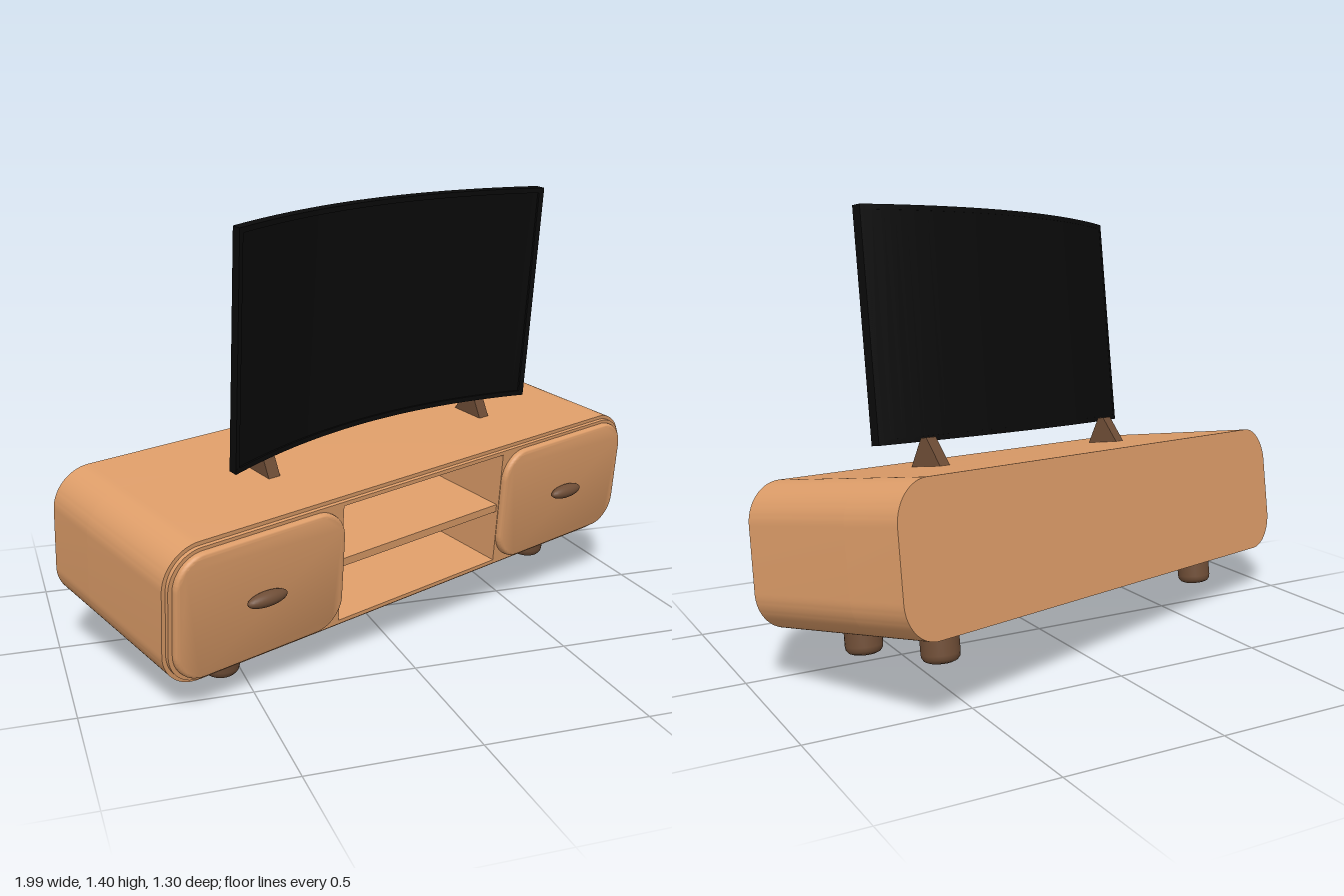
import * as THREE from 'three';
import { toCreasedNormals } from 'three/addons/utils/BufferGeometryUtils.js';

const wood = new THREE.MeshStandardMaterial({ color: 0xdc9c68 });
const darkWood = new THREE.MeshStandardMaterial({ color: 0x6e4d36 });
const black = new THREE.MeshStandardMaterial({ color: 0x0a0a0a });

const BOTTOM = 0.163, TOP = 0.598, MID = (BOTTOM + TOP) / 2;
const HALF_W = 0.948, HEIGHT = TOP - BOTTOM;
const BACK = -0.375, INNER_BACK = -0.17, FRONT = 0.235;

// rounded rectangle centred on the origin
function roundedRect(w, h, r) {
  const s = new THREE.Shape();
  const x = w / 2 - r, y = h / 2 - r;
  s.absarc(x, y, r, 0, Math.PI / 2);
  s.absarc(-x, y, r, Math.PI / 2, Math.PI);
  s.absarc(-x, -y, r, Math.PI, Math.PI * 1.5);
  s.absarc(x, -y, r, Math.PI * 1.5, Math.PI * 2);
  s.closePath();
  return s;
}

// same shape with the open shelf bay cut out
function withBay(shape) {
  const x = 0.335, y = HEIGHT / 2 - 0.025;
  shape.holes.push(new THREE.Path([
    new THREE.Vector2(-x, -y), new THREE.Vector2(-x, y),
    new THREE.Vector2(x, y), new THREE.Vector2(x, -y),
  ]));
  return shape;
}

function extrude(shape, depth, bevel = 0) {
  const g = new THREE.ExtrudeGeometry(shape, {
    depth, curveSegments: 12, bevelEnabled: bevel > 0,
    bevelSize: bevel, bevelThickness: bevel, bevelSegments: 4,
  });
  return toCreasedNormals(g, 0.6);
}

// box bent backwards in the middle, along a parabola over its width
function bentBox(w, h, d, x, y, z) {
  const g = new THREE.BoxGeometry(w, h, d, 32, 1, 1).translate(x, y, z);
  const p = g.attributes.position;
  for (let i = 0; i < p.count; i++) {
    p.setZ(i, p.getZ(i) + 0.1 * (p.getX(i) / 0.6) ** 2);
  }
  return toCreasedNormals(g, 0.6);
}

export function createModel() {
  const unit = new THREE.Group();
  unit.name = 'mediaUnit';
  const add = (name, geometry, material, x, y, z) => {
    const m = new THREE.Mesh(geometry, material);
    m.name = name;
    m.position.set(x, y, z);
    unit.add(m);
    return m;
  };

  // cabinet: solid back, hollowed body and stepped front frame
  const outline = (inset) => roundedRect(2 * (HALF_W - inset), HEIGHT - 2 * inset, 0.12 - inset);
  add('cabinetBack', extrude(outline(0), INNER_BACK - BACK), wood, 0, MID, BACK);
  add('cabinetBody', extrude(withBay(outline(0)), FRONT - INNER_BACK), wood, 0, MID, INNER_BACK);
  add('frontFrame', extrude(withBay(outline(0.012)), 0.013), wood, 0, MID, FRONT);
  add('shelf', new THREE.BoxGeometry(0.67, 0.026, 0.41), wood, 0, MID - 0.002, INNER_BACK + 0.205);

  const leg = new THREE.LatheGeometry([
    [0, 0], [0.036, 0], [0.048, 0.005], [0.055, 0.014], [0.057, 0.026], [0.057, 0.115],
  ].map(([r, y]) => new THREE.Vector2(r, y)), 28);
  const knob = new THREE.SphereGeometry(1, 28, 16).scale(0.068, 0.022, 0.024);

  // wedge-shaped foot of the screen, tapering upwards
  const wedge = new THREE.ExtrudeGeometry(new THREE.Shape([
    new THREE.Vector2(-0.062, 0), new THREE.Vector2(0.062, 0),
    new THREE.Vector2(0.011, 0.09), new THREE.Vector2(-0.011, 0.09),
  ]), { depth: 0.042, bevelEnabled: false }).translate(0, 0, -0.021).rotateY(Math.PI / 2);

  for (const side of [-1, 1]) {
    const tag = side > 0 ? 'left' : 'right';
    add(tag + 'Door', extrude(roundedRect(0.562, 0.366, 0.085), 0.02, 0.012),
      wood, side * 0.63, MID, FRONT + 0.001);
    add(tag + 'Knob', knob, darkWood, side * 0.632, MID, 0.284);
    add(tag + 'FrontLeg', leg, darkWood, side * 0.666, 0.06, 0.105);
    add(tag + 'BackLeg', leg, darkWood, side * 0.666, 0.06, -0.212);
    add(tag + 'ScreenFoot', wedge, darkWood, side * 0.447 + 0.028, TOP - 0.003, -0.043);
  }

  // curved screen with a slim raised bezel
  const screen = new THREE.Group();
  screen.name = 'curvedScreen';
  screen.position.set(0.002, 1.032, -0.061);
  const W = 1.2, H = 0.72, B = 0.016;
  const part = (name, ...box) => {
    const m = new THREE.Mesh(bentBox(...box), black);
    m.name = name;
    screen.add(m);
  };
  part('screenPanel', W - 0.004, H - 0.004, 0.025, 0, 0, 0.0135);
  for (const s of [-1, 1]) {
    part('bezelRail', W, B, 0.032, 0, s * (H - B) / 2, 0.016);
    part('bezelStile', B, H, 0.032, s * (W - B) / 2, 0, 0.016);
  }
  unit.add(screen);

  // the whole unit stands turned and tipped forward
  unit.position.x = 0.022;
  const tilted = new THREE.Group();
  tilted.name = 'tiltedUnit';
  tilted.rotation.set(THREE.MathUtils.degToRad(9), THREE.MathUtils.degToRad(21.4), 0, 'XYZ');
  tilted.add(unit);
  const model = new THREE.Group();
  model.name = 'televisionStand';
  model.add(tilted);
  return model;
}
